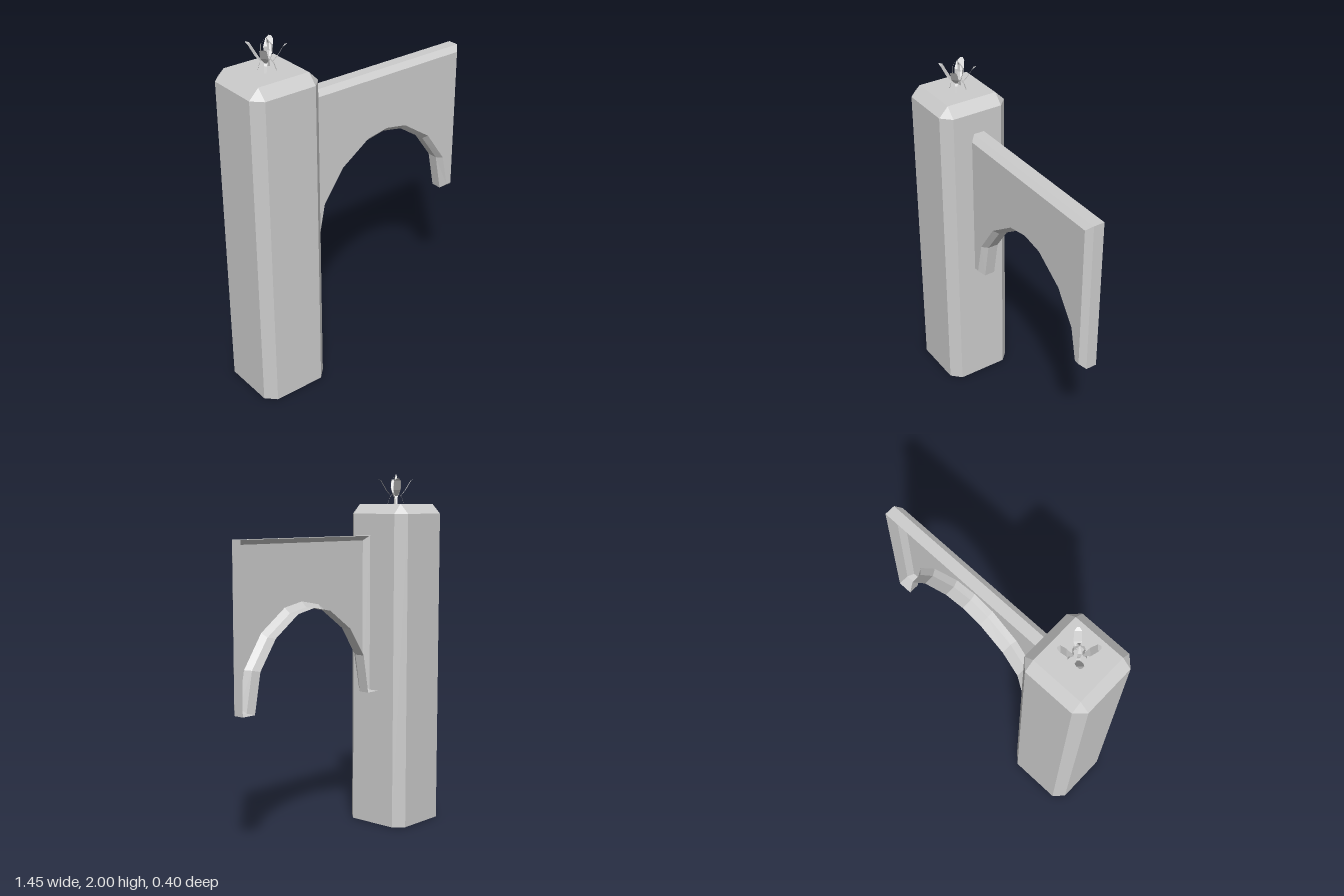
import * as THREE from 'three';

const stone = new THREE.MeshStandardMaterial({ color: 0xcccccc, flatShading: true, side: THREE.DoubleSide });
stone.name = 'stone grey';

// Flat-faced geometry from quads given as four [x, y, z] corners
function fromQuads(quads) {
  const pos = [];
  for (const [a, b, c, d] of quads) pos.push(...a, ...b, ...c, ...a, ...c, ...d);
  const geo = new THREE.BufferGeometry();
  geo.setAttribute('position', new THREE.Float32BufferAttribute(pos, 3));
  geo.computeVertexNormals();
  return geo;
}

// Skin between successive closed rings with equal point counts
function loft(rings) {
  const quads = [];
  for (let k = 0; k + 1 < rings.length; k++) {
    const a = rings[k], b = rings[k + 1], n = a.length;
    for (let i = 0; i < n; i++) {
      const j = (i + 1) % n;
      quads.push([a[i], a[j], b[j], b[i]]);
    }
  }
  return fromQuads(quads);
}

// Thin strip running outwards and up, points are [radius, y, halfWidth]
function ribbon(points) {
  const quads = [];
  for (let i = 0; i + 1 < points.length; i++) {
    const [r, y, w] = points[i], [s, v, u] = points[i + 1];
    quads.push([[r, y, -w], [r, y, w], [s, v, u], [s, v, -u]]);
  }
  return fromQuads(quads);
}

function part(name, geo, parent) {
  const mesh = new THREE.Mesh(geo, stone);
  mesh.name = name;
  parent.add(mesh);
  return mesh;
}

// Square with cut corners; outer is the half width, inner the half width of each flat
function octagon(y, outer, inner) {
  const corners = [[outer, -inner], [outer, inner], [inner, outer], [-inner, outer],
    [-outer, inner], [-outer, -inner], [-inner, -outer], [inner, -outer]];
  return corners.map(([x, v]) => [x, y, -v]);
}

function makePillar() {
  const pillar = new THREE.Group();
  pillar.name = 'pillar';
  pillar.position.x = -0.527;
  const half = 0.201, flat = 0.147;
  // Open-bottomed shaft with a bevelled crown
  part('pillarShaft', loft([octagon(0, half, flat), octagon(1.78, half, flat), octagon(1.835, flat, flat)]), pillar);
  const top = part('pillarTop', new THREE.PlaneGeometry(flat * 2, flat * 2).rotateX(-Math.PI / 2), pillar);
  top.position.y = 1.835;
  return pillar;
}

function makeArch() {
  const arch = new THREE.Group();
  arch.name = 'archWall';
  // Outer outline and the inset outline of the raised front, counter-clockwise
  const outline = [[-0.325, 0.782], [-0.24, 0.782], [-0.2, 0.997], [-0.088, 1.156], [0.077, 1.268], [0.201, 1.292],
    [0.325, 1.268], [0.49, 1.156], [0.602, 0.997], [0.643, 0.782], [0.727, 0.782], [0.727, 1.66], [-0.325, 1.66]];
  const inset = [[-0.297, 0.81], [-0.266, 0.81], [-0.226, 1.0], [-0.103, 1.178], [0.071, 1.297], [0.201, 1.321],
    [0.331, 1.297], [0.505, 1.178], [0.628, 1.0], [0.668, 0.81], [0.699, 0.81], [0.699, 1.632], [-0.297, 1.632]];
  const at = (pts, z) => pts.map(([x, y]) => [x, y, z]);
  // Shell open at the back
  part('archRim', loft([at(outline, -0.037), at(outline, 0.024), at(inset, 0.055)]), arch);
  const face = new THREE.ShapeGeometry(new THREE.Shape(inset.map(([x, y]) => new THREE.Vector2(x, y))));
  part('archFace', face, arch).position.z = 0.055;
  return arch;
}

function makeFinial() {
  const finial = new THREE.Group();
  finial.name = 'finial';
  finial.position.x = -0.521;
  // Leg, leaf and cage bar repeated on the four diagonals
  for (let i = 0; i < 4; i++) {
    const side = new THREE.Group();
    side.name = 'finialSide';
    side.rotation.y = Math.PI / 4 + i * Math.PI / 2;
    part('leg', ribbon([[0.046, 1.834, 0.006], [0.036, 1.868, 0.007], [0.022, 1.888, 0.01]]), side);
    part('leaf', ribbon([[0.028, 1.88, 0.007], [0.054, 1.912, 0.02], [0.085, 1.965, 0.018], [0.1, 1.975, 0.006]]), side);
    part('budBar', ribbon([[0.017, 1.885, 0.007], [0.028, 1.925, 0.009], [0.027, 1.965, 0.009], [0.002, 2.0, 0.002]]), side);
    finial.add(side);
  }
  // Small cup under the bud
  const cup = part('budCup', new THREE.CylinderGeometry(0.027, 0.012, 0.025, 4), finial);
  cup.position.y = 1.885;
  return finial;
}

export function createModel() {
  const model = new THREE.Group();
  model.name = 'pillarWithArch';
  model.add(makePillar(), makeArch(), makeFinial());
  return model;
}
